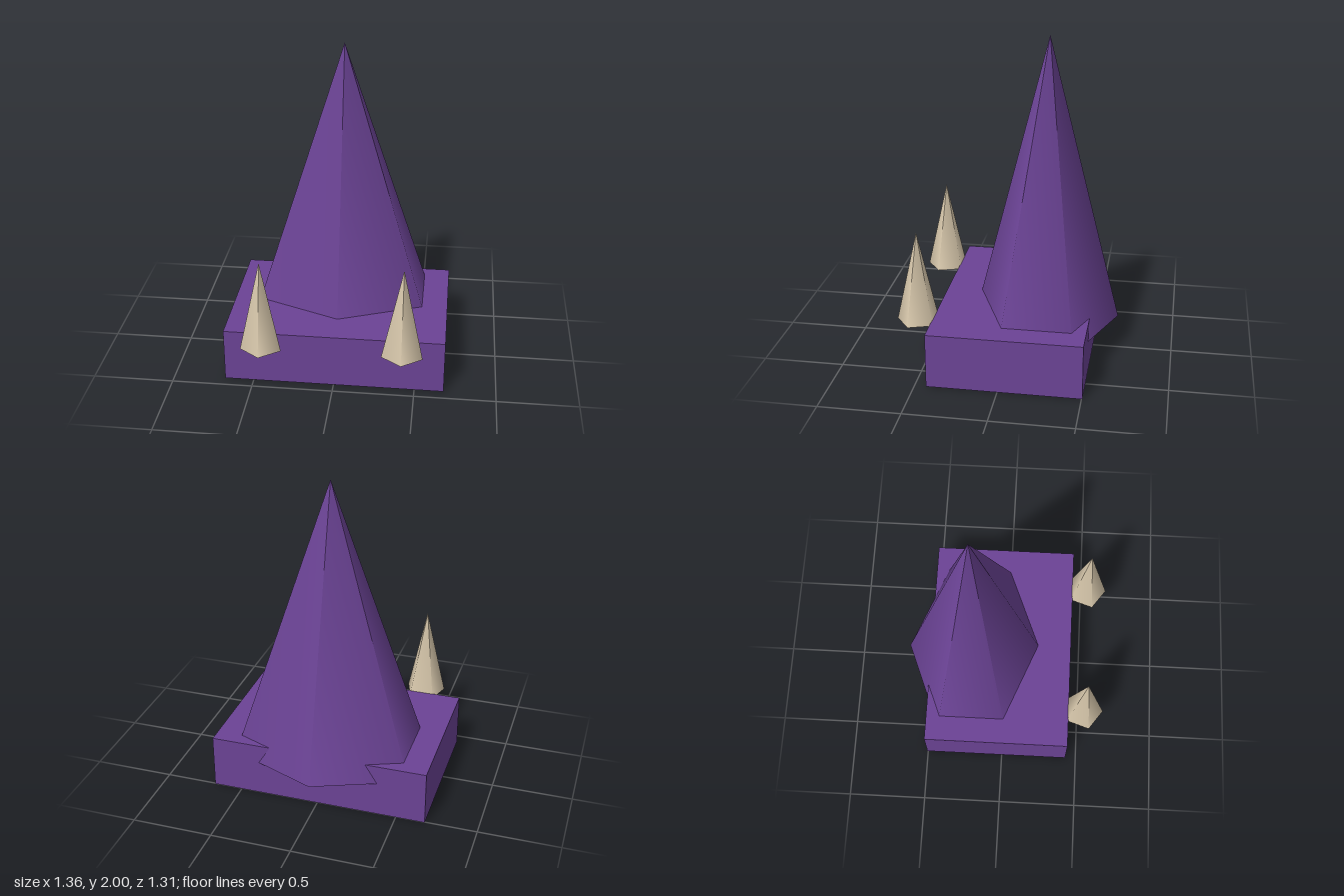
import * as THREE from 'three';

export function createModel() {
  const group = new THREE.Group();
  const purple = new THREE.MeshStandardMaterial({ color: 0x6b4395 });
  purple.name = 'purple';
  const bone = new THREE.MeshStandardMaterial({ color: 0xd8c8ac });
  bone.name = 'bone';

  function add(name, geometry, material, x, y, z) {
    const mesh = new THREE.Mesh(geometry, material);
    mesh.name = name;
    mesh.position.set(x, y, z);
    group.add(mesh);
  }

  // Slab base
  add('base', new THREE.BoxGeometry(1.36, 0.34, 0.935), purple, 0, 0.17, -0.0375);

  // Tall six-sided spire, wider than deep, overhanging the back of the base
  const spire = new THREE.ConeGeometry(1, 1.78, 6);
  spire.scale(0.643, 1, 0.45);
  add('spire', spire, purple, 0, 1.11, -0.208);

  // Pair of five-sided spikes on the front edge
  const spike = new THREE.ConeGeometry(0.13, 0.57, 5);
  for (const side of [1, -1]) {
    add(side > 0 ? 'leftSpike' : 'rightSpike', spike, bone, side * 0.425, 0.597, 0.526);
  }

  return group;
}
